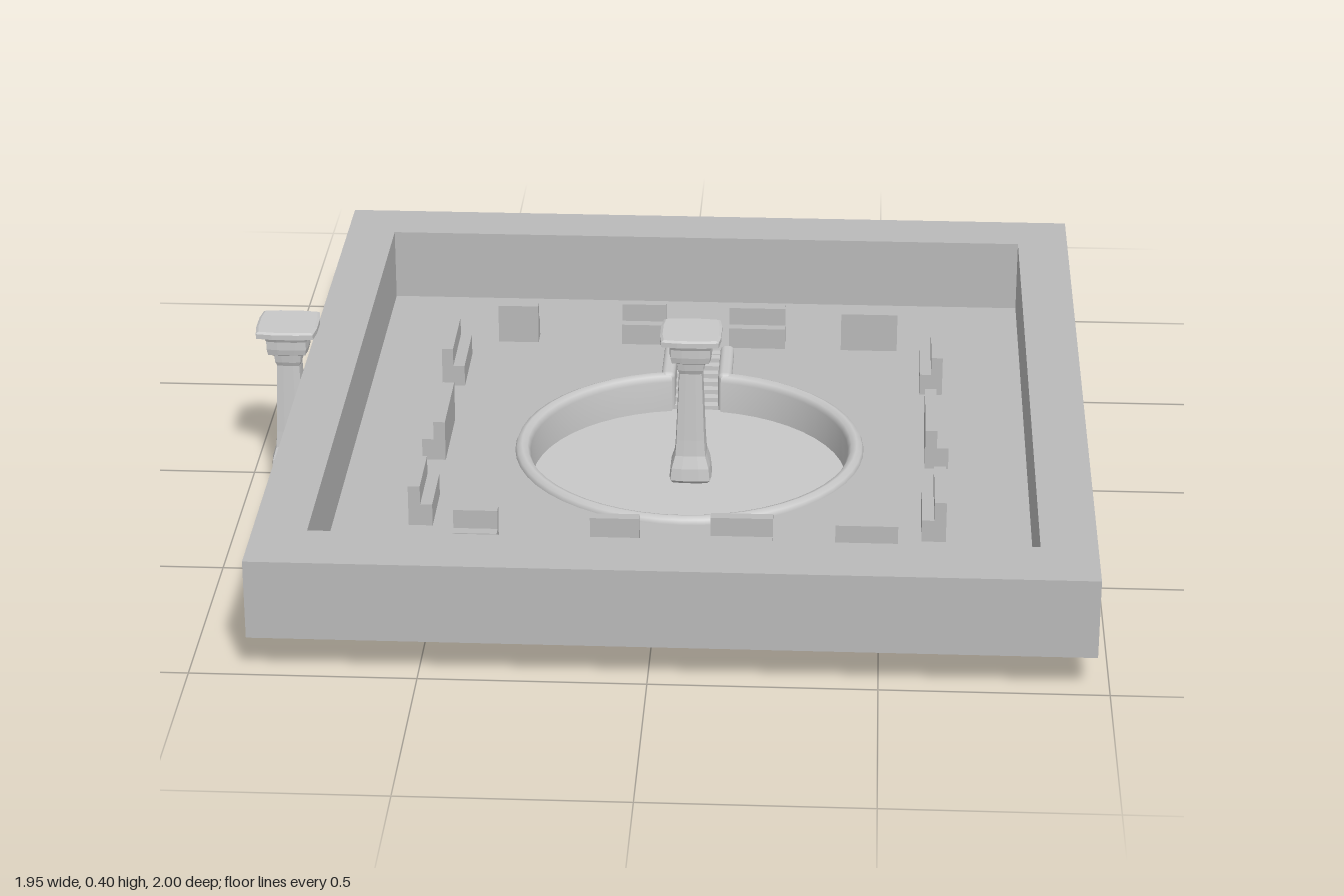
import * as THREE from 'three';
import { RoundedBoxGeometry } from 'three/addons/geometries/RoundedBoxGeometry.js';

const plaza = new THREE.MeshStandardMaterial({ color: 0xbababa });
plaza.name = 'plazaGrey';
const stone = new THREE.MeshStandardMaterial({ color: 0xc8c8c8 });
stone.name = 'paleStone';

const POOL = { x: 0.047, z: 0.01, r: 0.415 };
const BASE = 0.095, FLOOR = 0.102;

function add(parent, name, geometry, material, x = 0, y = 0, z = 0) {
  const mesh = new THREE.Mesh(geometry, material);
  mesh.name = name;
  mesh.position.set(x, y, z);
  parent.add(mesh);
  return mesh;
}

// Box given by its limits on each axis
function block(parent, name, material, [x0, x1], [y0, y1], [z0, z1]) {
  return add(parent, name, new THREE.BoxGeometry(x1 - x0, y1 - y0, z1 - z0), material,
    (x0 + x1) / 2, (y0 + y1) / 2, (z0 + z1) / 2);
}

// Plan outlines use y = -z
function rectangle(Type, x0, x1, z0, z1) {
  return new Type([[x0, -z1], [x1, -z1], [x1, -z0], [x0, -z0]].map(p => new THREE.Vector2(...p)));
}

function slab(shape, depth) {
  return new THREE.ExtrudeGeometry(shape, { depth, bevelEnabled: false, curveSegments: 48 }).rotateX(-Math.PI / 2);
}

// Square, slightly round-cornered turned pillar
function pillar(name, x, z) {
  const profile = [[0, 0.02], [0.042, 0.02], [0.05, 0.03], [0.047, 0.06], [0.038, 0.09], [0.035, 0.13],
    [0.028, 0.3], [0.032, 0.31], [0.034, 0.328], [0.047, 0.335], [0.05, 0.35], [0.05, 0.37],
    [0.056, 0.383], [0.072, 0.386], [0.072, 0.398], [0.066, 0.402], [0, 0.402]];
  const geometry = new THREE.LatheGeometry(profile.map(p => new THREE.Vector2(...p)), 16);
  const pos = geometry.attributes.position;
  for (let i = 0; i < pos.count; i++) {
    const px = pos.getX(i), pz = pos.getZ(i), r = Math.hypot(px, pz);
    if (r < 1e-6) continue;
    const k = 1 / Math.pow(Math.abs(px / r) ** 10 + Math.abs(pz / r) ** 10, 0.1);
    pos.setX(i, px * k);
    pos.setZ(i, pz * k);
  }
  const flat = geometry.toNonIndexed();
  flat.computeVertexNormals();
  const mesh = new THREE.Mesh(flat, stone);
  mesh.name = name;
  mesh.position.set(x, 0, z);
  return mesh;
}

// Bench of a seat and a backrest; 'back' is the side (+1 or -1) the backrest is on
function bench(x0, x1, z0, z1, back) {
  const group = new THREE.Group();
  group.name = 'bench';
  const alongX = x1 - x0 > z1 - z0;
  const [a, b] = alongX ? [z0, z1] : [x0, x1], m = (a + b) / 2;
  const halves = back > 0 ? { seat: [a, m], backrest: [m, b] } : { seat: [m, b], backrest: [a, m] };
  for (const [name, span] of Object.entries(halves)) {
    const y = [BASE, name === 'seat' ? 0.155 : 0.2];
    if (alongX) block(group, name, plaza, [x0, x1], y, span);
    else block(group, name, plaza, span, y, [z0, z1]);
  }
  return group;
}

export function createModel() {
  const model = new THREE.Group();
  model.name = 'sunkenPoolPlaza';

  // Surrounding wall
  const wall = rectangle(THREE.Shape, -0.87, 0.97, -1, 1);
  wall.holes.push(rectangle(THREE.Path, -0.75, 0.845, -0.855, 0.845));
  add(model, 'wall', slab(wall, 0.185), plaza, 0, BASE, 0);

  // Floor with an opening for the pool and its stairs
  const floor = rectangle(THREE.Shape, -0.75, 0.845, -0.855, 0.845);
  const opening = new THREE.Path();
  const gap = 0.16;
  opening.absarc(POOL.x, -POOL.z, 0.392, Math.PI / 2 + gap, Math.PI * 2.5 - gap, false);
  opening.lineTo(POOL.x + 0.062, 0.535);
  opening.lineTo(POOL.x - 0.062, 0.535);
  opening.closePath();
  floor.holes.push(opening);
  add(model, 'floor', slab(floor, FLOOR - BASE), plaza, 0, BASE, 0);

  // Pool rim, open at the stairs, and pool bed
  const pool = new THREE.Group();
  pool.name = 'pool';
  pool.position.set(POOL.x, 0, POOL.z);
  model.add(pool);
  const rim = [[0.375, 0.02], [0.38, 0.004], [0.41, 0.004], [0.415, 0.012], [0.415, 0.1], [0.41, 0.112],
    [0.398, 0.118], [0.385, 0.113], [0.377, 0.1], [0.375, 0.02]].map(p => new THREE.Vector2(...p));
  const rimMaterial = stone;
  add(pool, 'poolRim', new THREE.LatheGeometry(rim, 48, Math.PI + gap, Math.PI * 2 - gap * 2), rimMaterial);
  add(pool, 'poolBed', new THREE.CylinderGeometry(0.385, 0.385, 0.01, 40), stone, 0, 0.017, 0);

  // Stairs down into the pool
  const stairs = new THREE.Group();
  stairs.name = 'stairs';
  model.add(stairs);
  const steps = 7, run = 0.155 / steps;
  for (let i = 0; i < steps; i++) {
    const z = -0.375 - i * run;
    block(stairs, 'step', stone, [POOL.x - 0.06, POOL.x + 0.06], [0.006, 0.031 + i * 0.0115], [z - run, z]);
  }
  block(stairs, 'stairBack', stone, [POOL.x - 0.07, POOL.x + 0.07], [0.004, FLOOR], [-0.552, -0.53]);
  for (const side of [-1, 1]) {
    add(stairs, 'stairRail', new RoundedBoxGeometry(0.034, 0.116, 0.185, 3, 0.013), stone,
      POOL.x + side * 0.07, 0.062, -0.46);
  }

  // Benches around the pool: [x0, x1, z0, z1, backrest side]
  const benches = [
    [-0.46, -0.36, -0.63, -0.58, 1], [-0.15, -0.04, -0.63, -0.58, -1],
    [0.12, 0.26, -0.62, -0.57, -1], [0.4, 0.54, -0.62, -0.57, 1],
    [-0.46, -0.36, 0.545, 0.595, -1], [-0.15, -0.04, 0.545, 0.595, 1],
    [0.12, 0.26, 0.555, 0.605, -1], [0.4, 0.54, 0.555, 0.605, 1],
    [-0.575, -0.52, -0.5, -0.31, -1], [-0.58, -0.525, -0.115, 0.11, 1], [-0.575, -0.52, 0.295, 0.455, -1],
    [0.595, 0.65, -0.48, -0.315, 1], [0.605, 0.66, -0.135, 0.1, -1], [0.595, 0.65, 0.29, 0.48, 1],
  ];
  for (const b of benches) model.add(bench(...b));

  // Pillars in the pool and beside the wall
  model.add(pillar('poolPillar', 0.05, 0));
  model.add(pillar('outerPillar', -0.903, 0));

  return model;
}
